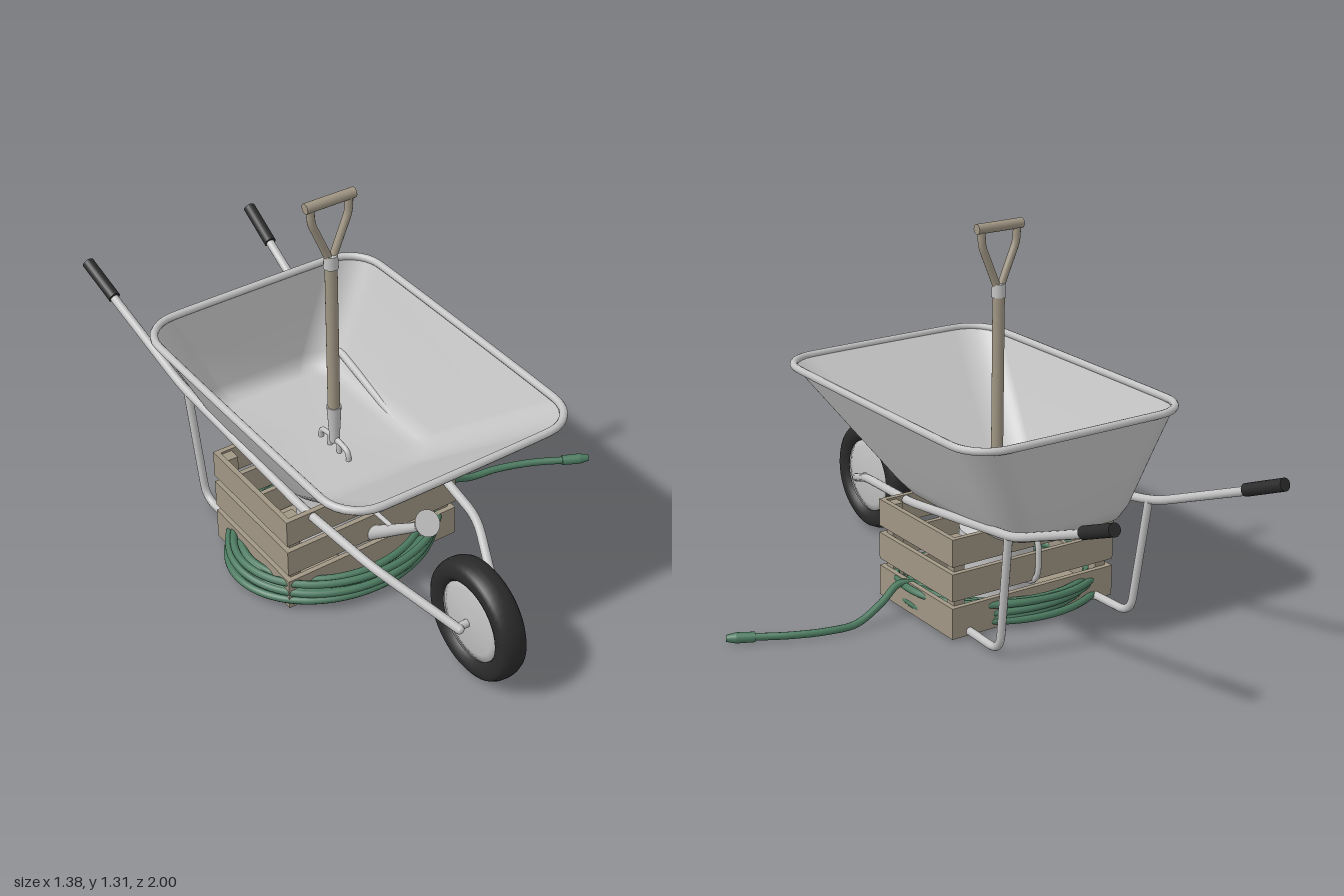
import * as THREE from 'three';

const V = (x, y, z) => new THREE.Vector3(x, y, z);
const mat = (name, color, side = THREE.FrontSide) => {
  const m = new THREE.MeshStandardMaterial({ color, side });
  m.name = name;
  return m;
};

export function createModel() {
  const root = new THREE.Group();
  const steel = mat('galvanised steel', 0xc2c2c2, THREE.DoubleSide);
  const wood = mat('weathered wood', 0xa0968a);
  wood.color.set(0xa09684);
  const rubber = mat('black rubber', 0x2a2a2a);
  const hoseGreen = mat('hose green', 0x4c7a60);

  const group = (name, parent = root) => {
    const g = new THREE.Group();
    g.name = name;
    parent.add(g);
    return g;
  };
  const add = (parent, name, geo, material, pos) => {
    const m = new THREE.Mesh(geo, material);
    m.name = name;
    if (pos) m.position.set(...pos);
    parent.add(m);
    return m;
  };
  // Straight round bar or cone between two points
  const bar = (parent, name, a, b, r0, r1, material) => {
    const d = b.clone().sub(a);
    const m = add(parent, name, new THREE.CylinderGeometry(r1, r0, d.length(), 20), material);
    m.position.copy(a).addScaledVector(d, 0.5);
    m.quaternion.setFromUnitVectors(V(0, 1, 0), d.normalize());
    return m;
  };
  // Bent pipe: straight runs joined by rounded bends
  const pipe = (parent, name, pts, r, bend, material) => {
    const path = new THREE.CurvePath();
    let from = pts[0];
    for (let i = 1; i < pts.length - 1; i++) {
      const toward = (q) => pts[i].clone().addScaledVector(q.clone().sub(pts[i]).normalize(), bend);
      const a = toward(pts[i - 1]), b = toward(pts[i + 1]);
      path.add(new THREE.LineCurve3(from, a));
      path.add(new THREE.QuadraticBezierCurve3(a, pts[i], b));
      from = b;
    }
    path.add(new THREE.LineCurve3(from, pts[pts.length - 1]));
    add(parent, name, new THREE.TubeGeometry(path, 64, r, 12), material);
    for (const p of [pts[0], pts[pts.length - 1]])
      add(parent, name + 'End', new THREE.SphereGeometry(r, 12, 8), material, p.toArray());
  };
  // Rounded rectangle as a ring of points
  const ring = (hx, z0, z1, r, y) => {
    const pts = [], n = 10;
    const corners = [[hx - r, z1 - r], [r - hx, z1 - r], [r - hx, z0 + r], [hx - r, z0 + r]];
    corners.forEach(([cx, cz], c) => {
      for (let i = 0; i <= n; i++) {
        const a = (c + i / n) * Math.PI / 2;
        pts.push(V(cx + r * Math.cos(a), y, cz + r * Math.sin(a)));
      }
    });
    return pts;
  };

  // ---- Wheelbarrow ----
  const barrow = group('wheelbarrow');
  barrow.position.x = -0.256;

  // Tray lofted from rounded rings, floor to rim
  const rings = [
    ring(0.02, -0.1, -0.06, 0.02, 0.372), ring(0.2, -0.36, 0.2, 0.09, 0.372),
    ring(0.24, -0.393, 0.255, 0.1, 0.385), ring(0.268, -0.41, 0.315, 0.11, 0.425),
    ring(0.345, -0.427, 0.52, 0.12, 0.58), ring(0.422, -0.445, 0.73, 0.125, 0.738),
  ];
  const n = rings[0].length, index = [];
  for (let k = 0; k < rings.length - 1; k++)
    for (let i = 0; i < n; i++) {
      const a = k * n + i, b = k * n + (i + 1) % n;
      index.push(a, a + n, b, b, a + n, b + n);
    }
  for (let i = 1; i < n - 1; i++) index.push(0, i, i + 1);
  const trayGeo = new THREE.BufferGeometry().setFromPoints(rings.flat());
  trayGeo.setIndex(index);
  trayGeo.computeVertexNormals();
  add(barrow, 'tray', trayGeo, steel);
  const rim = new THREE.CatmullRomCurve3(ring(0.422, -0.447, 0.732, 0.125, 0.737), true);
  add(barrow, 'trayRim', new THREE.TubeGeometry(rim, 140, 0.013, 10, true), steel);

  // Frame rails, grips and legs on both sides
  for (const s of [-1, 1]) {
    pipe(barrow, 'frameRail', [V(s * 0.075, 0.21, 0.81), V(s * 0.2, 0.32, 0.53), V(s * 0.235, 0.345, 0.2),
      V(s * 0.282, 0.45, -0.46), V(s * 0.322, 0.655, -0.98)], 0.015, 0.06, steel);
    bar(barrow, 'handGrip', V(s * 0.311, 0.603, -0.84), V(s * 0.323, 0.667, -0.995), 0.021, 0.021, rubber);
    pipe(barrow, 'leg', [V(s * 0.278, 0.44, -0.425), V(s * 0.265, 0.026, -0.368),
      V(s * 0.255, 0.026, -0.1)], 0.014, 0.06, steel);
  }

  // Wheel spun about the axle
  const wheel = group('wheel', barrow);
  wheel.position.set(0, 0.21, 0.8);
  wheel.rotation.z = Math.PI / 2;
  const lathe = (pairs) => new THREE.LatheGeometry(pairs.map(([r, y]) => new THREE.Vector2(r, y)), 48);
  const tyreHalf = [[0.132, 0.03], [0.14, 0.042], [0.158, 0.048], [0.178, 0.046], [0.19, 0.038], [0.198, 0.02]];
  add(wheel, 'tyre', lathe([...tyreHalf.map(([r, y]) => [r, -y]), [0.2, 0], ...tyreHalf.reverse()]), rubber);
  add(wheel, 'hubDisc', lathe([[0, -0.04], [0.06, -0.037], [0.11, -0.03], [0.136, -0.024],
    [0.136, 0.024], [0.11, 0.03], [0.06, 0.037], [0, 0.04]]), steel);
  add(wheel, 'axle', new THREE.CylinderGeometry(0.013, 0.013, 0.17, 16), steel);

  // ---- Garden fork standing in the tray ----
  const fork = group('gardenFork');
  fork.position.set(-0.256, 0, 0.03);
  bar(fork, 'shaft', V(0, 0.5, 0), V(0, 1.07, 0), 0.02, 0.02, wood);
  bar(fork, 'collar', V(0, 1.06, 0), V(0, 1.105, 0), 0.024, 0.022, steel);
  bar(fork, 'socket', V(0, 0.4, 0), V(0, 0.54, 0), 0.016, 0.024, steel);
  bar(fork, 'gripBar', V(-0.088, 1.294, 0), V(0.088, 1.294, 0), 0.017, 0.017, wood);
  for (const s of [-1, 1]) {
    pipe(fork, 'yokeArm', [V(s * 0.008, 1.095, 0), V(s * 0.022, 1.13, 0), V(s * 0.067, 1.235, 0),
      V(s * 0.07, 1.29, 0)], 0.013, 0.02, wood);
    pipe(fork, 'outerTine', [V(0, 0.415, 0), V(0, 0.405, s * 0.08), V(0, 0.2, s * 0.08)], 0.009, 0.025, steel);
    pipe(fork, 'innerTine', [V(0, 0.415, 0), V(0, 0.405, s * 0.027), V(0, 0.2, s * 0.027)], 0.009, 0.008, steel);
  }

  // ---- Slatted crate ----
  const crate = group('crate');
  crate.position.set(-0.256, 0, 0.03);
  const box = (name, w, h, d, x, y, z) => add(crate, name, new THREE.BoxGeometry(w, h, d), wood, [x, y, z]);
  for (const [y, h] of [[0.066, 0.108], [0.192, 0.095], [0.312, 0.095]])
    for (const s of [-1, 1]) {
      box('longSlat', 0.652, h, 0.018, 0, y, s * 0.211);
      box('shortSlat', 0.018, h, 0.404, s * 0.317, y, 0);
    }
  for (const sx of [-1, 1])
    for (const sz of [-1, 1]) box('cornerPost', 0.04, 0.34, 0.04, sx * 0.288, 0.182, sz * 0.182);
  for (let i = 0; i < 4; i++) box('floorSlat', 0.63, 0.016, 0.09, 0, 0.02, -0.15 + i * 0.1);

  // ---- Watering can inside the crate ----
  const can = group('wateringCan');
  can.position.set(-0.256, 0, 0.03);
  add(can, 'canBody', new THREE.CylinderGeometry(0.125, 0.135, 0.23, 40), steel, [0, 0.148, 0]);
  add(can, 'canShoulder', new THREE.CylinderGeometry(0.08, 0.125, 0.03, 40, 1, true), steel, [0, 0.278, 0]);
  bar(can, 'spout', V(0, 0.09, 0.12), V(0, 0.365, 0.475), 0.027, 0.014, steel);
  bar(can, 'spoutBrace', V(0, 0.255, 0.1), V(0, 0.26, 0.335), 0.008, 0.008, steel);
  bar(can, 'sprinkleRose', V(0, 0.355, 0.46), V(0, 0.402, 0.51), 0.014, 0.043, steel);
  pipe(can, 'canHandle', [V(0, 0.31, 0), V(0, 0.31, -0.24), V(0, 0.14, -0.24), V(0, 0.12, -0.12)],
    0.01, 0.06, steel);

  // ---- Coiled hose with loose end ----
  const hose = group('gardenHose');
  const coil = [], turns = 7, steps = 24;
  for (let i = 0; i <= turns * steps; i++) {
    const a = i / steps * Math.PI * 2, t = i / (turns * steps);
    const r = 0.92 + 0.07 * Math.sin(t * 23) + 0.02 * Math.sin(a * 0.7);
    const y = 0.035 + 0.07 * t + 0.012 * Math.sin(a * 0.83 + 1);
    coil.push(V(-0.285 + 0.365 * r * Math.cos(a), y, 0.055 + 0.305 * r * Math.sin(a)));
  }
  coil.push(V(0.09, 0.115, 0.09), V(0.18, 0.07, 0.07), V(0.28, 0.027, 0.06), V(0.38, 0.023, 0.07),
    V(0.5, 0.023, 0.11), V(0.61, 0.023, 0.168));
  add(hose, 'hoseTube', new THREE.TubeGeometry(new THREE.CatmullRomCurve3(coil), 800, 0.0125, 10), hoseGreen);
  const p = V(0.6, 0.023, 0.163), q = V(0.685, 0.023, 0.205);
  bar(hose, 'nozzleBody', p, p.clone().lerp(q, 0.65), 0.017, 0.018, hoseGreen);
  bar(hose, 'nozzleTip', p.clone().lerp(q, 0.65), q, 0.018, 0.011, hoseGreen);
  return root;
}
